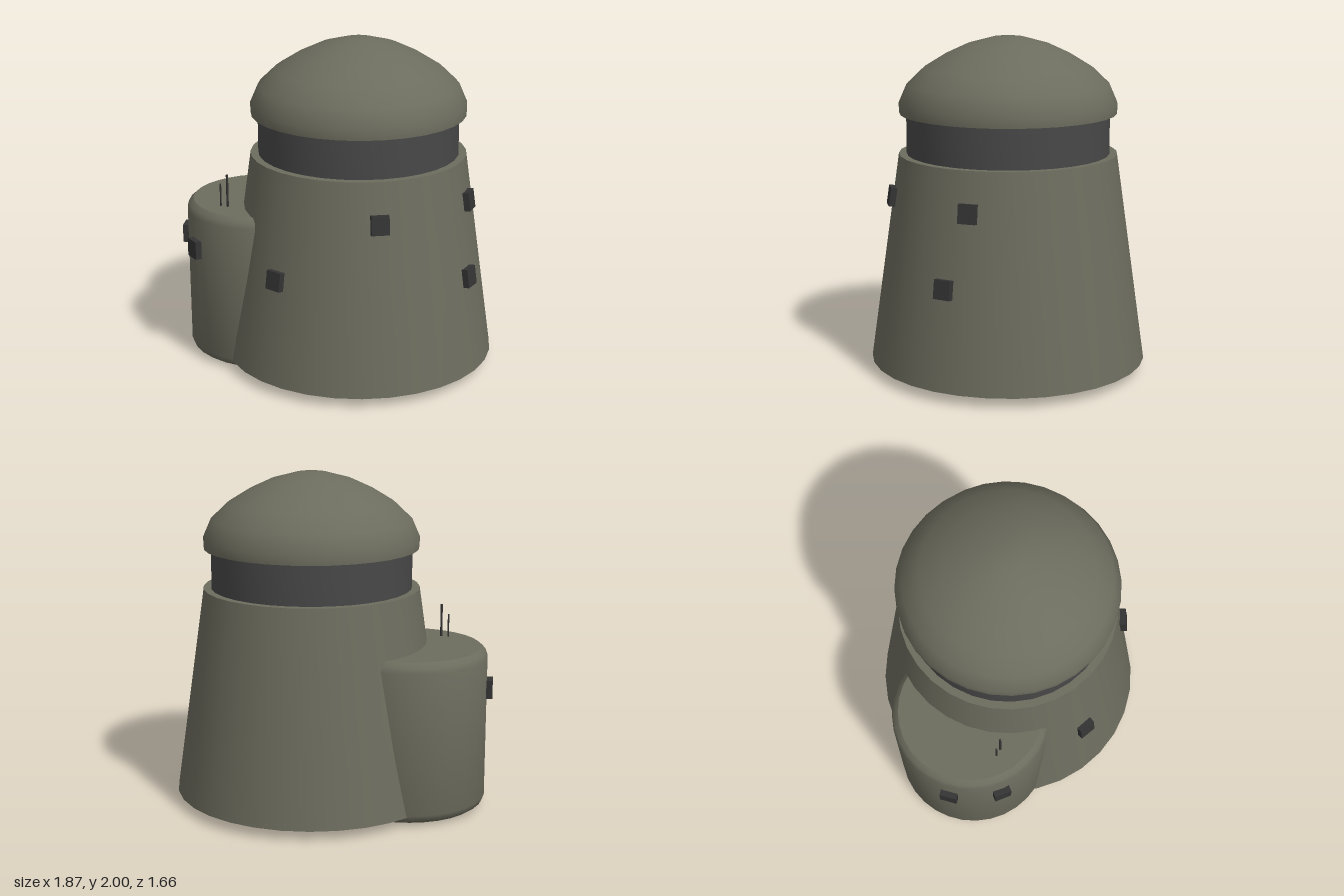
import * as THREE from 'three';
import { toCreasedNormals } from 'three/addons/utils/BufferGeometryUtils.js';

const olive = new THREE.MeshStandardMaterial({ color: 0x6c6c5e });
const charcoal = new THREE.MeshStandardMaterial({ color: 0x484848 });
const dark = new THREE.MeshStandardMaterial({ color: 0x343434 });

const BODY = { x: 0.1, z: 0, bottom: 0.06, top: 1.31, r0: 0.83, r1: 0.65 };
const TANK = { x: -0.44, z: -0.245, r: 0.477 };

// Turned solid from [radius, height] pairs, listed from bottom to top
function turned(name, profile, material, x, z) {
  const points = profile.map(([r, y]) => new THREE.Vector2(r, y));
  const geometry = toCreasedNormals(new THREE.LatheGeometry(points, 32), 0.65);
  const mesh = new THREE.Mesh(geometry, material);
  mesh.name = name;
  mesh.position.set(x, 0, z);
  return mesh;
}

// Small block lying on a round wall, facing outwards at the given angle from +z
function wallBlock(name, centre, radius, angle, y, tilt) {
  const mesh = new THREE.Mesh(new THREE.BoxGeometry(0.104, 0.112, 0.045), dark);
  mesh.name = name;
  mesh.rotation.set(-tilt, angle, 0, 'YXZ');
  mesh.position.set(centre.x + Math.sin(angle) * radius, y, centre.z + Math.cos(angle) * radius);
  return mesh;
}

export function createModel() {
  const group = new THREE.Group();
  group.name = 'domedTower';

  // Tapered body with a shallow cone underneath and a ledge on top
  group.add(turned('body', [
    [0, 0.025], [BODY.r0, BODY.bottom], [BODY.r1, BODY.top], [0.58, BODY.top],
  ], olive, BODY.x, BODY.z));

  // Recessed neck
  group.add(turned('neckBand', [[0.604, 1.3], [0.604, 1.56]], charcoal, BODY.x, BODY.z));

  // Dome with an overhanging rim
  group.add(turned('dome', [
    [0.58, 1.55], [0.645, 1.55], [0.648, 1.61], [0.6, 1.72], [0.5, 1.815],
    [0.37, 1.895], [0.24, 1.955], [0.09, 1.995], [0, 2],
  ], olive, BODY.x, BODY.z));

  // Side tank with softened edges
  const r = TANK.r;
  group.add(turned('sideTank', [
    [0, 0], [r - 0.04, 0.015], [r - 0.012, 0.035], [r, 0.07],
    [r, 0.92], [r - 0.012, 0.955], [r - 0.04, 0.98], [0, 0.98],
  ], olive, TANK.x, TANK.z));

  // Blocks on the sloping body: [angle, height]
  const slope = (BODY.r0 - BODY.r1) / (BODY.top - BODY.bottom);
  [[-0.05, 1.07], [0.99, 1.075], [0.82, 0.643], [-0.917, 0.69]].forEach(([angle, y], i) => {
    const radius = BODY.r1 + (BODY.top - y) * slope + 0.011;
    group.add(wallBlock('bodyBlock' + (i + 1), BODY, radius, angle, y, Math.atan(slope)));
  });

  // Blocks on the tank wall
  [[-0.46, 0.17], [-0.46, -0.15]].forEach(([x, z], i) => {
    group.add(wallBlock('tankBlock' + (i + 1), TANK, r + 0.011, Math.atan2(x, z), 0.728, 0));
  });

  // Two thin aerials on the tank roof: [x, z, top, radius]
  [[-0.73, -0.1, 1.12, 0.005], [-0.692, -0.077, 1.18, 0.007]].forEach(([x, z, top, radius], i) => {
    const height = top - 0.95;
    const aerial = new THREE.Mesh(new THREE.CylinderGeometry(radius, radius, height, 8), dark);
    aerial.name = 'aerial' + (i + 1);
    aerial.position.set(x, 0.95 + height / 2, z);
    group.add(aerial);
  });

  return group;
}
